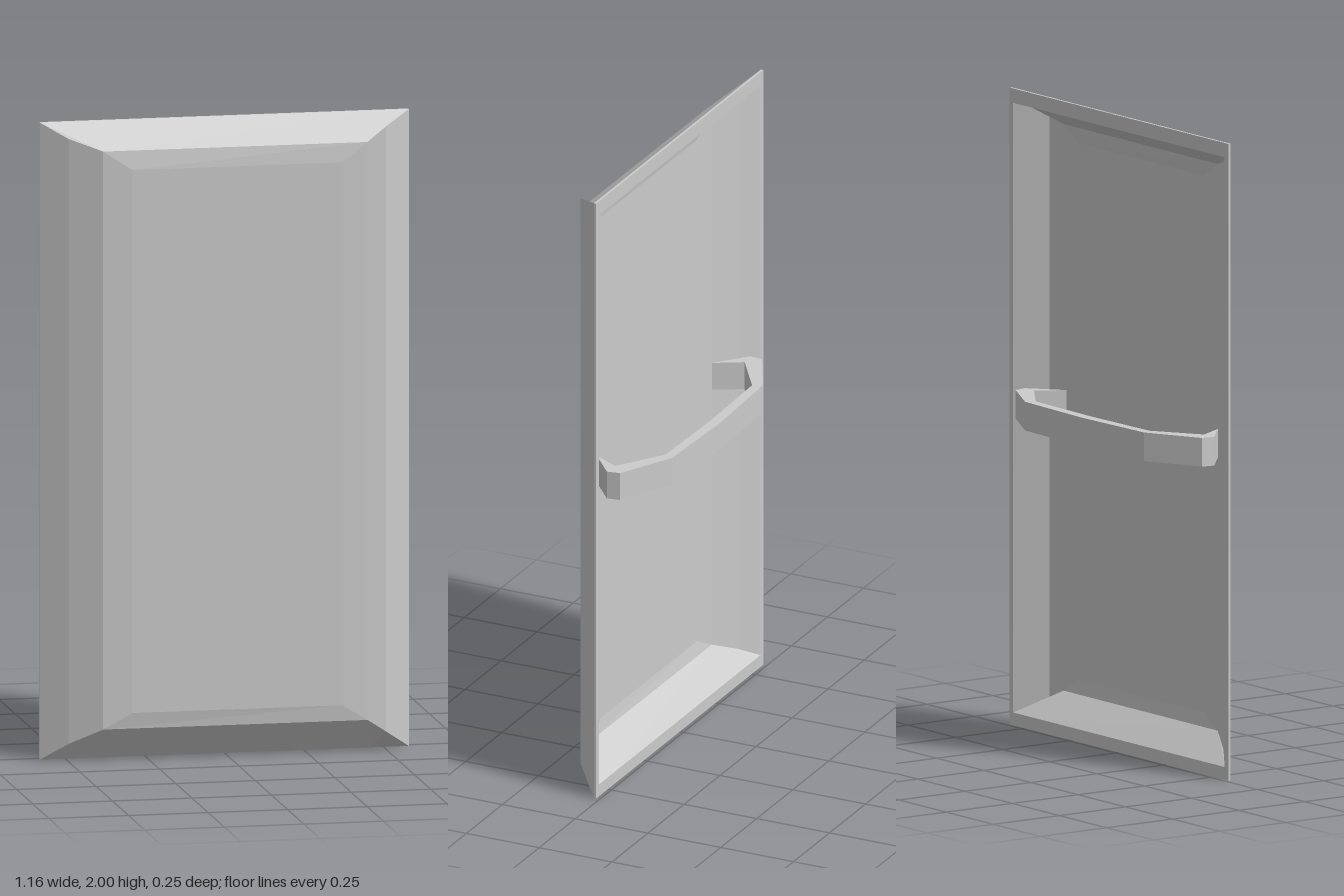
import * as THREE from 'three';

const material = new THREE.MeshStandardMaterial({ color: 0xcccccc, flatShading: true });

// Columns across the shield, left edge to right edge: [x, z, bottom y, top y]
const outerColumns = [
  [-0.58, 0.02, 0.005, 2], [-0.5, 0.07, 0.06, 1.955], [-0.4, 0.117, 0.11, 1.92], [-0.31, 0.125, 0.16, 1.86],
  [0.35, 0.125, 0.16, 1.86], [0.43, 0.12, 0.11, 1.92], [0.49, 0.11, 0.07, 1.965], [0.58, 0.02, 0.005, 2],
];
const innerColumns = [
  [-0.56, 0.012, 0.045, 1.955], [-0.49, 0.057, 0.085, 1.925], [-0.4, 0.1, 0.125, 1.9], [-0.31, 0.108, 0.17, 1.85],
  [0.35, 0.108, 0.17, 1.85], [0.42, 0.103, 0.125, 1.9], [0.48, 0.092, 0.09, 1.93], [0.56, 0.012, 0.045, 1.955],
];

// Turns a list of convex polygons into a flat-shaded mesh
function facetMesh(name, polygons) {
  const positions = [];
  for (const p of polygons)
    for (let i = 1; i < p.length - 1; i++) positions.push(...p[0], ...p[i], ...p[i + 1]);
  const geometry = new THREE.BufferGeometry();
  geometry.setAttribute('position', new THREE.Float32BufferAttribute(positions, 3));
  geometry.computeVertexNormals();
  const mesh = new THREE.Mesh(geometry, material);
  mesh.name = name;
  return mesh;
}

// One skin of the dished plate: upright strips plus sloped top and bottom ends
function skin(name, columns, facesBack) {
  const low = columns.map(([x, z, y]) => [x, y, z]);
  const high = columns.map(([x, z, , y]) => [x, y, z]);
  const polygons = [];
  for (let i = 0; i < 7; i++) polygons.push([low[i], low[i + 1], high[i + 1], high[i]]);
  for (const [e, flip] of [[high, false], [low, true]]) {
    const split = [0.46, e[7][1], e[7][2]];
    const end = [
      [e[0], e[1], e[2]],
      [e[2], e[5], split, e[0]],
      [e[5], e[6], e[7], split],
      [e[3], e[4], e[5], e[2]],
    ];
    polygons.push(...end.map((p) => (flip ? [...p].reverse() : p)));
  }
  return facetMesh(name, facesBack ? polygons.map((p) => [...p].reverse()) : polygons);
}

// Narrow edge and back lip joining the two skins
function rim() {
  const loop = (columns, z) => {
    const [x0, , y0, y1] = columns[0];
    const x1 = columns[7][0];
    return [[x0, y0, z], [x1, y0, z], [x1, y1, z], [x0, y1, z]];
  };
  const front = loop(outerColumns, 0.02);
  const back = loop(outerColumns, 0.012);
  const inner = loop(innerColumns, 0.012);
  const polygons = [];
  for (let i = 0; i < 4; i++) {
    const j = (i + 1) % 4;
    polygons.push([back[i], back[j], front[j], front[i]], [inner[i], inner[j], back[j], back[i]]);
  }
  return facetMesh('rim', polygons);
}

// Bent strap across the back, with ends hooked into the shell
function handle() {
  const half = [[0, -0.13], [0.315, -0.118], [0.493, -0.027], [0.5, 0.015], [0.4, 0.1], [0.45, 0.012], [0.3, -0.088], [0, -0.095]];
  const mirrored = half.slice(1, -1).reverse().map(([x, z]) => [-x, z]);
  const shape = new THREE.Shape([...half, ...mirrored].map(([x, z]) => new THREE.Vector2(x, z)));
  const geometry = new THREE.ExtrudeGeometry(shape, { depth: 0.09, bevelEnabled: false });
  geometry.rotateX(Math.PI / 2);
  geometry.translate(0, 1.07, 0);
  const mesh = new THREE.Mesh(geometry, material);
  mesh.name = 'handle';
  return mesh;
}

export function createModel() {
  const group = new THREE.Group();
  group.name = 'shield';
  group.add(skin('frontPlate', outerColumns, false), skin('backPlate', innerColumns, true), rim(), handle());
  return group;
}
